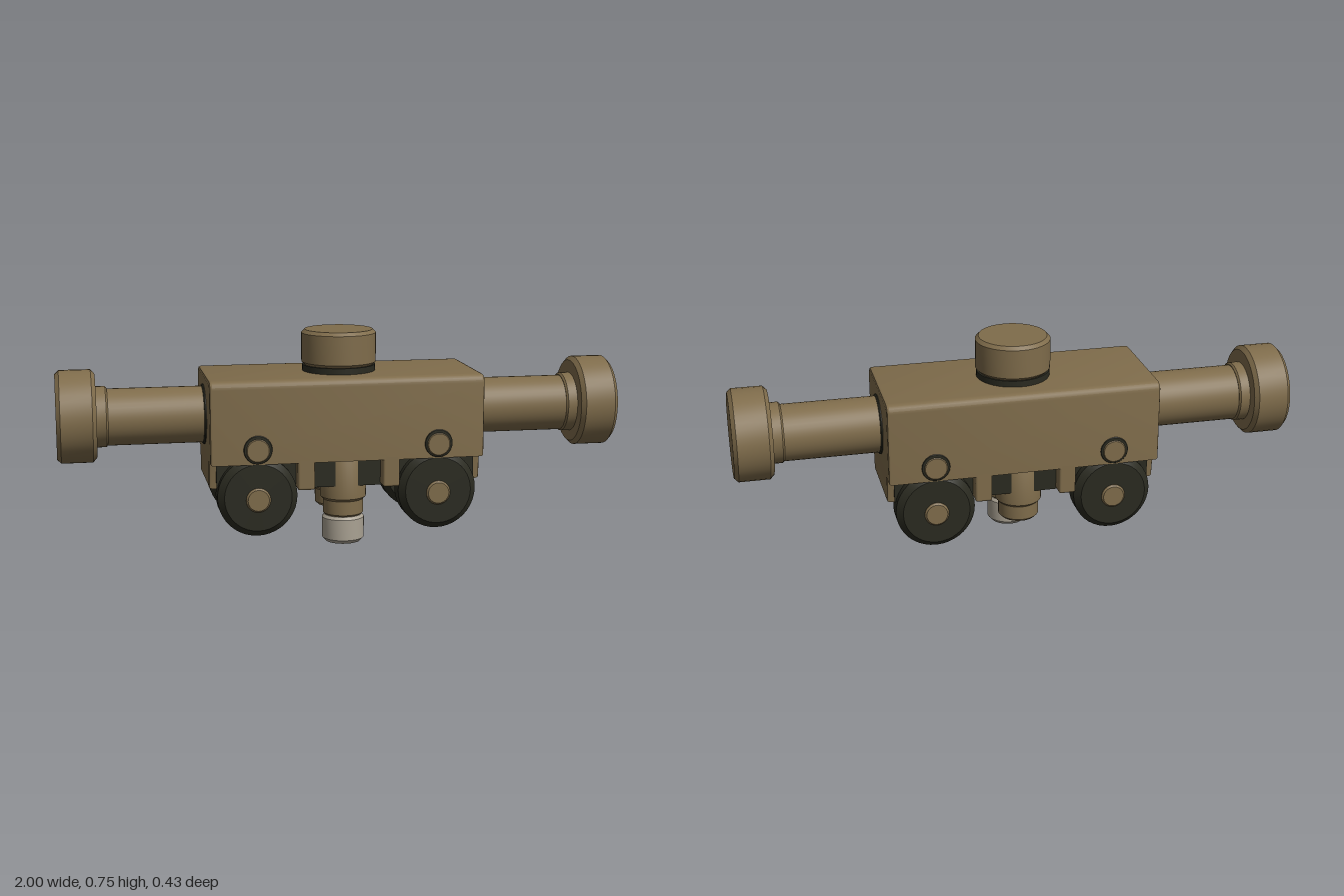
import * as THREE from 'three';
import { toCreasedNormals } from 'three/addons/utils/BufferGeometryUtils.js';
import { RoundedBoxGeometry } from 'three/addons/geometries/RoundedBoxGeometry.js';

const material = (name, color) => {
  const m = new THREE.MeshStandardMaterial({ color });
  m.name = name;
  return m;
};

// Solid of revolution around y; profile runs from bottom to top
function turned(profile, segments = 40) {
  const pts = profile.map(([r, y]) => new THREE.Vector2(r, y));
  return toCreasedNormals(new THREE.LatheGeometry(pts, segments), 0.6);
}

// Bevelled cylinder centred on the origin, axis along y
function drum(r, length, b = 0.01) {
  const h = length / 2;
  return turned([[0, -h], [r - b, -h], [r, -h + b], [r, h - b], [r - b, h], [0, h]]);
}

export function createModel() {
  const tan = material('tan', 0x7f6c4b);
  const dark = material('darkOlive', 0x2a2a20);
  const silver = material('silver', 0xaaa293);
  const model = new THREE.Group();

  function add(name, geometry, mat, x = 0, y = 0, z = 0, axis = 'y') {
    const mesh = new THREE.Mesh(geometry, mat);
    mesh.name = name;
    mesh.position.set(x, y, z);
    if (axis === 'x') mesh.rotation.z = -Math.PI / 2;
    if (axis === 'z') mesh.rotation.x = Math.PI / 2;
    model.add(mesh);
    return mesh;
  }

  // Body: stepped cross-section swept along x
  const b = 0.01;
  const half = [[0.134, 0.23], [0.142, 0.32], [0.196, 0.322], [0.197, 0.575]];
  const section = new THREE.Shape();
  section.moveTo(-half[0][0], half[0][1]);
  half.forEach(([z, y]) => section.lineTo(z, y));
  section.quadraticCurveTo(0.197, 0.595, 0.175, 0.595);
  section.lineTo(-0.175, 0.595);
  section.quadraticCurveTo(-0.197, 0.595, -0.197, 0.575);
  [...half].reverse().forEach(([z, y]) => section.lineTo(-z, y));
  const bodyGeo = new THREE.ExtrudeGeometry(section, {
    depth: 0.95, bevelThickness: b, bevelSize: b, bevelSegments: 2, curveSegments: 5,
  });
  bodyGeo.translate(0, 0, -0.475);
  bodyGeo.rotateY(Math.PI / 2);
  add('body', toCreasedNormals(bodyGeo, 0.5), tan);

  // Dark recess in the middle of the underside
  add('underRecess', new THREE.BoxGeometry(0.25, 0.12, 0.312), dark, 0, 0.273, 0);

  // Top stud on its dark ring
  add('studRing', new THREE.CylinderGeometry(0.13, 0.13, 0.03, 40), dark, 0, 0.612, 0);
  add('topStud', drum(0.133, 0.127, 0.012), tan, 0, 0.6885, 0);

  for (const sx of [1, -1]) {
    // Side arms with end caps
    add('armSeat', drum(0.107, 0.03, 0.004), dark, sx * 0.477, 0.46, 0, 'x');
    add('arm', drum(0.1, 0.38, 0.006), tan, sx * 0.64, 0.46, 0, 'x');
    add('armCollar', drum(0.107, 0.05, 0.006), tan, sx * 0.848, 0.462, 0, 'x');
    add('endCap', drum(0.163, 0.137, 0.014), tan, sx * 0.9315, 0.466, 0, 'x');

    // Roller between the wheels
    add('roller', drum(0.098, 0.24), dark, sx * 0.32, 0.195, 0, 'z');

    for (const sz of [1, -1]) {
      add('wheelWell', new THREE.BoxGeometry(0.28, 0.106, 0.006), dark, sx * 0.32, 0.278, sz * 0.153);
      add('wheel', drum(0.14, 0.105, 0.022), dark, sx * 0.32, 0.195, sz * 0.152, 'z');
      add('hubCap', drum(0.043, 0.03, 0.006), tan, sx * 0.32, 0.187, sz * 0.198, 'z');
      add('boltRing', drum(0.05, 0.01, 0.002), dark, sx * 0.32, 0.365, sz * 0.204, 'z');
      add('bolt', drum(0.043, 0.03, 0.005), tan, sx * 0.32, 0.362, sz * 0.197, 'z');
      add('sideLeg', new RoundedBoxGeometry(0.06, 0.14, 0.07, 2, 0.008), tan,
        sx * 0.151, 0.285, sz * 0.171);
    }
  }

  // Downward posts, front and back
  const post = turned([[0, 0.095], [0.062, 0.095], [0.072, 0.105], [0.072, 0.155],
    [0.082, 0.165], [0.082, 0.31], [0.07, 0.33], [0, 0.33]]);
  for (const sz of [1, -1]) add('post', post, tan, 0, 0, sz * 0.085);

  // Silver tip with a hollow end
  add('tip', turned([[0, 0.03], [0.03, 0.03], [0.034, 0], [0.062, 0], [0.075, 0.014],
    [0.075, 0.088], [0.067, 0.098], [0, 0.098]], 32), silver, 0, 0, 0.085);

  return model;
}
